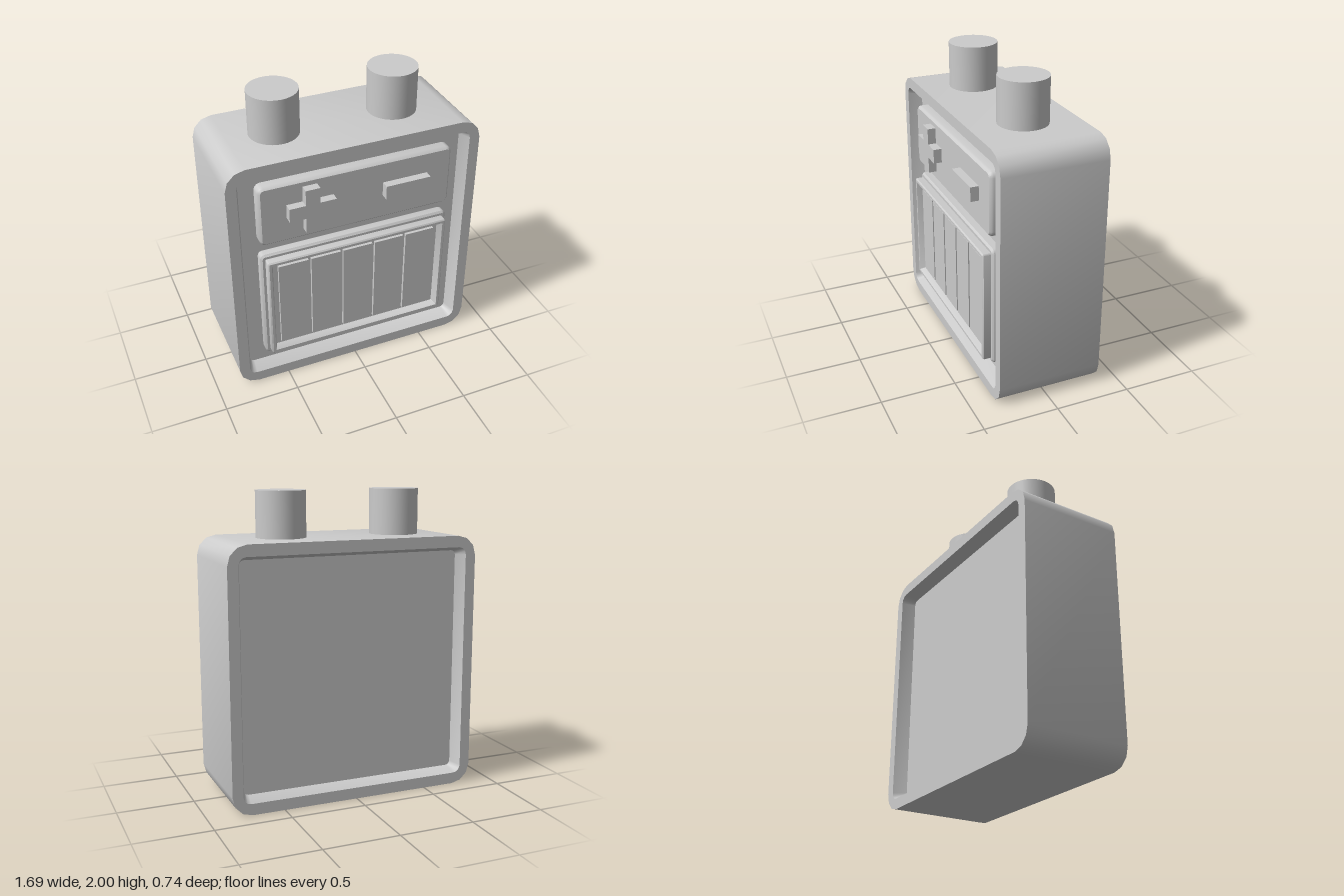
import * as THREE from 'three';
import { toCreasedNormals } from 'three/addons/utils/BufferGeometryUtils.js';

const material = new THREE.MeshStandardMaterial({ color: 0xcccccc });

// Counter-clockwise rounded rectangle centred on the origin
function roundedRing(halfW, halfH, r, z, seg = 3) {
  const ring = [];
  [[1, 1], [-1, 1], [-1, -1], [1, -1]].forEach(([sx, sy], corner) => {
    for (let i = 0; i <= seg; i++) {
      const a = (corner + i / seg) * Math.PI / 2;
      ring.push(new THREE.Vector3(
        sx * (halfW - r) + r * Math.cos(a), sy * (halfH - r) + r * Math.sin(a), z));
    }
  });
  return ring;
}

// Closed solid through rounded rings [halfW, halfH, radius, z], from front centre to back centre
function loft(name, x, y, profile) {
  const rings = profile.map((p) => roundedRing(...p));
  const pos = [];
  const tri = (...pts) => pts.forEach((p) => pos.push(p.x, p.y, p.z));
  const n = rings[0].length;
  const first = rings[0], last = rings[rings.length - 1];
  const front = new THREE.Vector3(0, 0, first[0].z);
  const back = new THREE.Vector3(0, 0, last[0].z);
  for (let j = 0; j < n; j++) {
    const k = (j + 1) % n;
    tri(front, first[j], first[k]);
    for (let i = 0; i < rings.length - 1; i++) {
      const a = rings[i], b = rings[i + 1];
      tri(a[j], b[j], b[k]);
      tri(a[j], b[k], a[k]);
    }
    tri(back, last[k], last[j]);
  }
  const geometry = new THREE.BufferGeometry();
  geometry.setAttribute('position', new THREE.Float32BufferAttribute(pos, 3));
  const mesh = new THREE.Mesh(toCreasedNormals(geometry, 0.65), material);
  mesh.name = name;
  mesh.position.set(x, y, 0);
  return mesh;
}

function box(name, x0, x1, y0, y1, z0, z1) {
  const mesh = new THREE.Mesh(new THREE.BoxGeometry(x1 - x0, y1 - y0, z1 - z0), material);
  mesh.name = name;
  mesh.position.set((x0 + x1) / 2, (y0 + y1) / 2, (z0 + z1) / 2);
  return mesh;
}

export function createModel() {
  const model = new THREE.Group();
  model.name = 'battery';

  // Casing with a tapered recess in the front and back
  model.add(loft('casing', 0, 0.85, [
    [0.745, 0.747, 0.03, 0.24],
    [0.775, 0.775, 0.05, 0.33],
    [0.845, 0.85, 0.13, 0.33],
    [0.845, 0.85, 0.13, -0.37],
    [0.775, 0.775, 0.05, -0.37],
    [0.745, 0.747, 0.03, -0.28],
  ]));

  // Two terminal posts on top
  for (const [name, x] of [['rightTerminal', -0.415], ['leftTerminal', 0.383]]) {
    const post = new THREE.Mesh(new THREE.CylinderGeometry(0.162, 0.162, 0.32, 32), material);
    post.name = name;
    post.position.set(x, 1.84, -0.02);
    model.add(post);
  }

  // Upper panel with softened edges
  model.add(loft('signPanel', 0.008, 1.318, [
    [0.637, 0.197, 0.025, 0.315],
    [0.649, 0.209, 0.035, 0.303],
    [0.653, 0.213, 0.04, 0.29],
    [0.653, 0.213, 0.04, 0.23],
  ]));

  // Raised plus and minus signs
  const plusShape = new THREE.Shape();
  const a = 0.155, b = 0.048;
  [[b, a], [-b, a], [-b, b], [-a, b], [-a, -b], [-b, -b],
    [-b, -a], [b, -a], [b, -b], [a, -b], [a, b], [b, b]]
    .forEach(([x, y], i) => (i ? plusShape.lineTo(x, y) : plusShape.moveTo(x, y)));
  const plus = new THREE.Mesh(
    new THREE.ExtrudeGeometry(plusShape, { depth: 0.07, bevelEnabled: false }), material);
  plus.name = 'plusSign';
  plus.position.set(-0.312, 1.33, 0.3);
  model.add(plus);
  model.add(box('minusSign', 0.18, 0.488, 1.282, 1.378, 0.3, 0.37));

  // Base plate of the charge gauge
  model.add(loft('gaugeBase', 0.008, 0.61, [
    [0.64, 0.398, 0.02, 0.3],
    [0.653, 0.411, 0.03, 0.288],
    [0.653, 0.411, 0.03, 0.23],
  ]));

  // Gauge frame with a sunken floor
  model.add(loft('gaugeFrame', 0.01, 0.61, [
    [0.582, 0.34, 0.004, 0.31],
    [0.596, 0.352, 0.004, 0.345],
    [0.601, 0.357, 0.004, 0.355],
    [0.617, 0.373, 0.006, 0.355],
    [0.625, 0.381, 0.01, 0.347],
    [0.625, 0.381, 0.01, 0.29],
  ]));

  // Five charge cells
  const cells = new THREE.Group();
  cells.name = 'chargeCells';
  for (let i = 0; i < 5; i++) {
    const x = -0.54 + i * 0.2235;
    cells.add(box(`chargeCell${i + 1}`, x, x + 0.205, 0.29, 0.928, 0.3, 0.33));
  }
  model.add(cells);

  return model;
}
